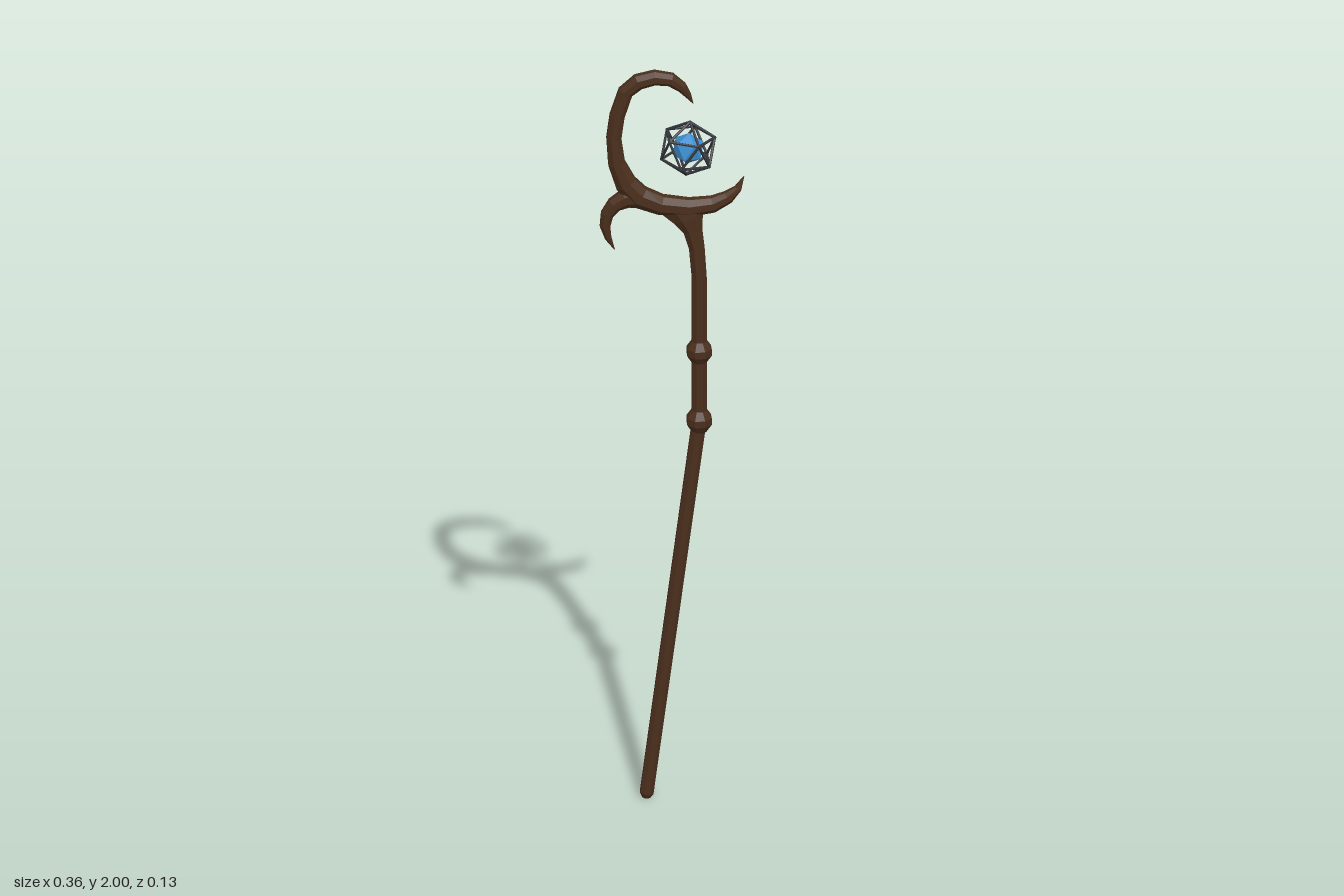
import * as THREE from 'three';

const wood = new THREE.MeshStandardMaterial({ color: 0x4a2f1c, flatShading: true });
const metal = new THREE.MeshStandardMaterial({ color: 0x33363a, flatShading: true });
const blue = new THREE.MeshStandardMaterial({ color: 0x3d8fd1, flatShading: true });
const WOOD_Z = -0.006;

function addMesh(parent, name, geometry, material) {
  const mesh = new THREE.Mesh(geometry, material);
  mesh.name = name;
  parent.add(mesh);
  return mesh;
}

// Faceted branch in the xy plane; each station is [x, y, in-plane radius, depth radius]
function branch(stations, sides = 8) {
  const pos = [], index = [];
  const at = i => stations[Math.min(Math.max(i, 0), stations.length - 1)];
  stations.forEach(([x, y, r, rz = r], i) => {
    const t = new THREE.Vector2(at(i + 1)[0] - at(i - 1)[0], at(i + 1)[1] - at(i - 1)[1]).normalize();
    for (let j = 0; j < sides; j++) {
      const a = ((j + 0.5) / sides) * Math.PI * 2;
      pos.push(x - t.y * r * Math.cos(a), y + t.x * r * Math.cos(a), WOOD_Z + rz * Math.sin(a));
    }
  });
  const last = (stations.length - 1) * sides;
  for (let j = 0; j < sides; j++) {
    const k = (j + 1) % sides;
    for (let i = 0; i < last; i += sides) {
      index.push(i + j, i + k, i + sides + k, i + j, i + sides + k, i + sides + j);
    }
    if (j > 0 && j < sides - 1) index.push(0, j + 1, j, last, last + j, last + j + 1);
  }
  const g = new THREE.BufferGeometry();
  g.setAttribute('position', new THREE.Float32BufferAttribute(pos, 3));
  g.setIndex(index);
  g.computeVertexNormals();
  return g;
}

// The 12 corners of an icosahedron standing on a corner
function icoCorners(R) {
  const pts = [new THREE.Vector3(0, R, 0), new THREE.Vector3(0, -R, 0)];
  const h = R / Math.sqrt(5);
  for (let i = 0; i < 10; i++) {
    const a = (i * Math.PI) / 5;
    pts.push(new THREE.Vector3(2 * h * Math.cos(a), i % 2 ? -h : h, 2 * h * Math.sin(a)));
  }
  return pts;
}

// Solid icosahedron in the same stance as the cage
function icoSolid(R) {
  const c = icoCorners(R), pos = [];
  const tri = (...ids) => ids.forEach(i => pos.push(...c[i].toArray()));
  for (let i = 0; i < 10; i++) {
    const a = 2 + i, b = 2 + (i + 1) % 10, d = 2 + (i + 2) % 10;
    if (i % 2) { tri(a, b, d); tri(1, a, d); }
    else { tri(a, d, b); tri(0, d, a); }
  }
  const g = new THREE.BufferGeometry();
  g.setAttribute('position', new THREE.Float32BufferAttribute(pos, 3));
  g.computeVertexNormals();
  return g;
}

export function createModel() {
  const model = new THREE.Group();
  model.name = 'staff';

  // Leaning lower shaft, upright upper shaft, flaring into the crook
  addMesh(model, 'shaft', branch([
    [-0.066, 0.002, 0.011], [-0.065, 0.014, 0.018], [0.062, 1.0, 0.019], [0.066, 1.04, 0.02],
    [0.066, 1.23, 0.02], [0.066, 1.43, 0.02], [0.06, 1.51, 0.021], [0.05, 1.56, 0.026, 0.022],
    [0.038, 1.595, 0.042, 0.024], [0.028, 1.625, 0.062, 0.022],
  ]), wood);

  // Knots around the shaft
  for (const y of [1.035, 1.225]) {
    addMesh(model, 'knot', branch([
      [0.066, y - 0.03, 0.019], [0.066, y - 0.009, 0.033],
      [0.066, y + 0.009, 0.033], [0.066, y + 0.03, 0.019],
    ]), wood);
  }

  // Hook sweeping from the right thorn, round the open head, to the top tip
  addMesh(model, 'crook', branch([
    [0.178, 1.702, 0.001], [0.163, 1.669, 0.01], [0.138, 1.646, 0.017], [0.1, 1.628, 0.022],
    [0.04, 1.622, 0.025], [-0.03, 1.632, 0.027], [-0.083, 1.655, 0.031, 0.027],
    [-0.117, 1.693, 0.029, 0.025], [-0.14, 1.75, 0.023], [-0.147, 1.82, 0.02],
    [-0.139, 1.88, 0.02], [-0.118, 1.945, 0.02], [-0.086, 1.972, 0.021], [-0.045, 1.982, 0.02],
    [-0.005, 1.975, 0.018], [0.023, 1.953, 0.014], [0.04, 1.928, 0.008], [0.051, 1.907, 0.001],
  ]), wood);

  // Thorn curling down on the outside of the crook
  addMesh(model, 'lowerThorn', branch([
    [-0.085, 1.66, 0.036, 0.024], [-0.118, 1.652, 0.026, 0.022], [-0.146, 1.636, 0.02],
    [-0.164, 1.61, 0.017], [-0.169, 1.578, 0.014], [-0.161, 1.545, 0.009], [-0.145, 1.512, 0.001],
  ]), wood);

  // Floating crystal in a strut cage
  const orb = new THREE.Group();
  orb.name = 'orb';
  orb.position.set(0.038, 1.787, 0);
  orb.rotation.z = -0.07;
  model.add(orb);
  addMesh(orb, 'crystal', icoSolid(0.042), blue);

  const R = 0.072, corners = icoCorners(R), up = new THREE.Vector3(0, 1, 0);
  corners.forEach((a, i) => {
    addMesh(orb, 'cageJoint', new THREE.IcosahedronGeometry(0.0045), metal).position.copy(a);
    for (const b of corners.slice(i + 1)) {
      const d = b.clone().sub(a);
      if (d.length() > R * 1.1) continue;
      const strut = addMesh(orb, 'cageStrut', new THREE.CylinderGeometry(0.0035, 0.0035, d.length(), 6), metal);
      strut.position.copy(a).add(b).multiplyScalar(0.5);
      strut.quaternion.setFromUnitVectors(up, d.normalize());
    }
  });

  return model;
}
